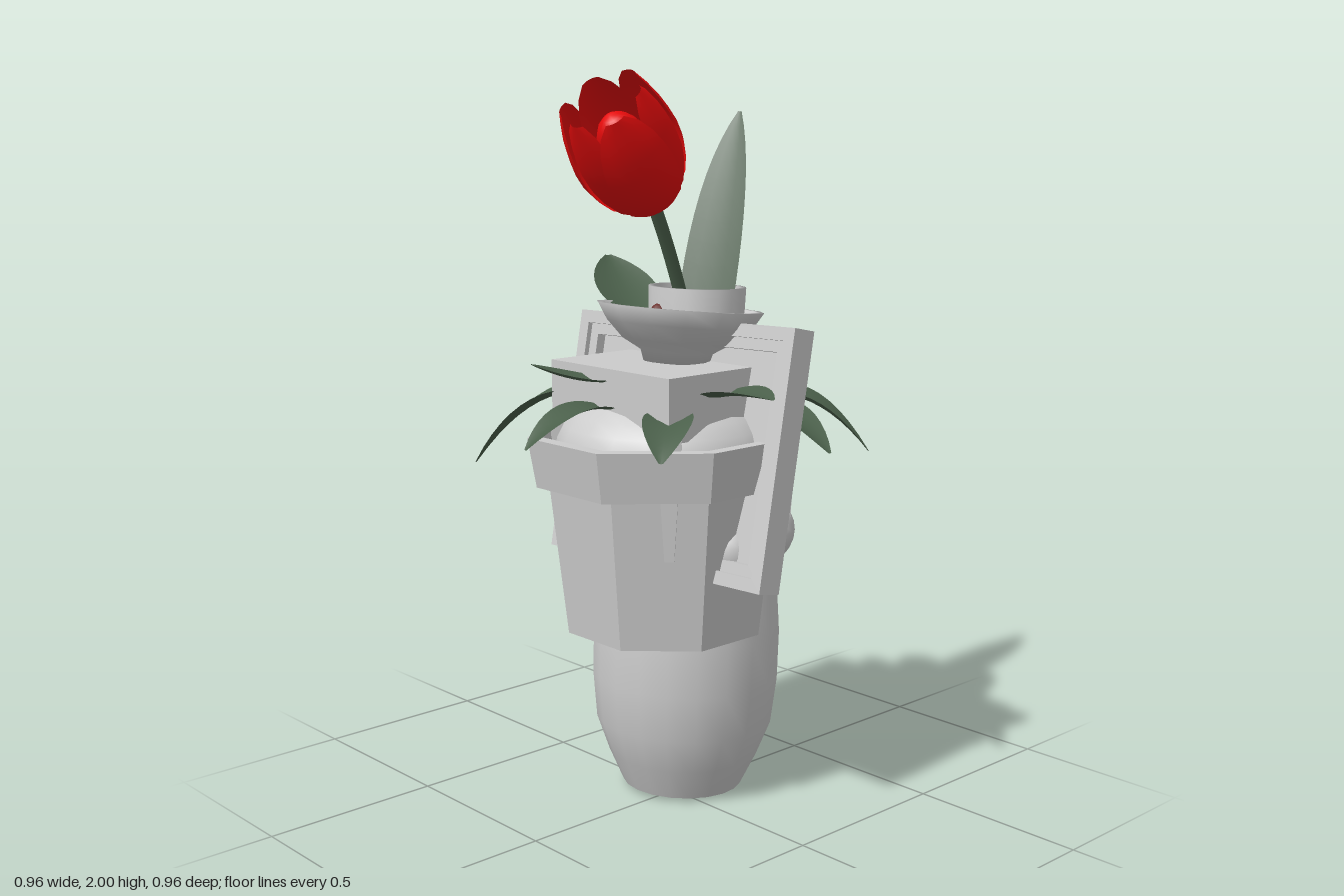
import * as THREE from 'three';

const grey = new THREE.MeshStandardMaterial({ color: 0xcccccc, side: THREE.DoubleSide });
const greyFlat = new THREE.MeshStandardMaterial({ color: 0xcccccc, flatShading: true, side: THREE.DoubleSide });
const green = new THREE.MeshStandardMaterial({ color: 0x4b604b, side: THREE.DoubleSide });
const red = new THREE.MeshStandardMaterial({ color: 0xe60b0b, side: THREE.DoubleSide });
const brown = new THREE.MeshStandardMaterial({ color: 0x6a302c });

function add(parent, name, geometry, material, pos = [0, 0, 0]) {
  const mesh = new THREE.Mesh(geometry, material);
  mesh.name = name;
  mesh.position.set(...pos);
  parent.add(mesh);
  return mesh;
}

const lathe = (points, sides, start = 0) =>
  new THREE.LatheGeometry(points.map(([r, y]) => new THREE.Vector2(r, y)), sides, start);

// Surface from a rule f(u, v) -> Vector3 on a regular grid
function sheet(nu, nv, f) {
  const pos = [], index = [];
  for (let i = 0; i <= nu; i++) {
    for (let j = 0; j <= nv; j++) {
      pos.push(...f(i / nu, j / nv).toArray());
      if (i < nu && j < nv) {
        const a = i * (nv + 1) + j, b = a + nv + 1;
        index.push(a, b, a + 1, b, b + 1, a + 1);
      }
    }
  }
  const g = new THREE.BufferGeometry();
  g.setAttribute('position', new THREE.Float32BufferAttribute(pos, 3));
  g.setIndex(index);
  g.computeVertexNormals();
  return g;
}

// Arched, slightly folded leaf; a larger start puts the widest part nearer the base
function leaf(base, tip, width, arch, side, start = 0.1, tipWidth = 0.25) {
  const a = new THREE.Vector3(...base), b = new THREE.Vector3(...tip);
  const mid = a.clone().lerp(b, 0.5);
  mid.y += arch;
  const curve = new THREE.QuadraticBezierCurve3(a, mid, b);
  const across = side
    ? new THREE.Vector3(...side).normalize()
    : new THREE.Vector3(b.z - a.z, 0, a.x - b.x).normalize();
  return sheet(12, 4, (u, v) => {
    const s = v * 2 - 1;
    const w = width / 2 * (tipWidth + (1 - tipWidth) * Math.sin(Math.PI * (start + u * (0.95 - start))))
      * Math.sqrt(Math.max(0.06, 1 - Math.pow(u, 8)));
    const p = curve.getPoint(u).addScaledVector(across, s * w);
    p.y += 0.25 * w * s * s;
    return p;
  });
}

// Cupped petal around the y axis
function petal(radius, height, halfAngle) {
  const profile = new THREE.SplineCurve([[0.15, 0], [0.7, 0.1], [1, 0.4], [0.97, 0.72], [0.8, 1]]
    .map(([r, y]) => new THREE.Vector2(r * radius, y * height)));
  return sheet(10, 6, (u, v) => {
    const s = v * 2 - 1;
    const p = profile.getPoint(u);
    const a = s * halfAngle * Math.sqrt(Math.max(0.1, 1 - Math.pow(u, 5)));
    const r = p.x * (1 - 0.06 * s * s);
    return new THREE.Vector3(Math.sin(a) * r, p.y, Math.cos(a) * r);
  });
}

function createVase() {
  const vase = new THREE.Group();
  vase.name = 'vase';
  const body = [[0.17, 0], [0.212, 0.09], [0.25, 0.19], [0.264, 0.32], [0.265, 0.46], [0.25, 0.64],
    [0.235, 0.75], [0.205, 0.88], [0.165, 1.0], [0.135, 1.13], [0.13, 1.25], [0.136, 1.42],
    [0.12, 1.42], [0.115, 1.25], [0.11, 1.1]];
  add(vase, 'vaseBody', lathe(body, 20), grey);
  add(vase, 'vaseBase', new THREE.CircleGeometry(0.17, 20).rotateX(Math.PI / 2), greyFlat);
  vase.position.set(-0.045, 0.009, -0.073);
  vase.rotation.x = -0.04;
  return vase;
}

function createPot() {
  const pot = new THREE.Group();
  pot.name = 'pot';
  const turn = Math.PI / 8;
  add(pot, 'potBody', lathe([[0, 0.5], [0.28, 0.5], [0.33, 0.92]], 8, turn), greyFlat, [-0.02, 0, 0.015]);
  const rim = add(pot, 'potRim', lathe([[0.32, 0.92], [0.345, 0.92], [0.367, 1.055], [0.33, 1.055], [0.32, 1.0], [0, 1.0]],
    8, turn), greyFlat, [-0.006, 0, 0.015]);
  rim.scale.z = 1.11;
  const soil = add(pot, 'soil', new THREE.SphereGeometry(0.31, 20, 8, 0, Math.PI * 2, 0, Math.PI / 2), grey, [-0.005, 1.0, 0.015]);
  soil.scale.y = 0.6;
  return pot;
}

function createStand() {
  const stand = new THREE.Group();
  stand.name = 'stand';
  add(stand, 'standTop', new THREE.BoxGeometry(0.47, 0.17, 0.47), greyFlat, [0, 1.155, 0]);
  for (const x of [-1, 1]) for (const z of [-1, 1]) {
    add(stand, 'standLeg', new THREE.CylinderGeometry(0.045, 0.018, 0.32, 4), greyFlat, [x * 0.215, 0.92, z * 0.215]);
  }
  return stand;
}

function createFrame() {
  const frame = new THREE.Group();
  frame.name = 'frame';
  const ring = (w, h, border, depth) => {
    const rect = (S, a, b) => new S().moveTo(-a, -b).lineTo(a, -b).lineTo(a, b).lineTo(-a, b).closePath();
    const shape = rect(THREE.Shape, w / 2, h / 2);
    shape.holes.push(rect(THREE.Path, w / 2 - border, h / 2 - border));
    return new THREE.ExtrudeGeometry(shape, { depth, bevelEnabled: false });
  };
  // Panel recessed between stepped rails on both faces
  add(frame, 'outerRail', ring(0.82, 0.685, 0.035, 0.075), greyFlat, [0, 0, -0.0375]);
  add(frame, 'innerRail', ring(0.75, 0.615, 0.03, 0.045), greyFlat, [0, 0, -0.0225]);
  add(frame, 'backPanel', new THREE.BoxGeometry(0.7, 0.565, 0.012), greyFlat, [0, 0, -0.012]);
  frame.position.set(0.004, 1.008, 0);
  frame.rotation.set(-0.21, 0.02, 0.03);
  return frame;
}

function createFoliage() {
  const foliage = new THREE.Group();
  foliage.name = 'foliage';
  // base, tip, width, arch
  const leaves = [
    [[-0.09, 1.19, -0.18], [-0.235, 1.17, -0.475], 0.17, 0.1],
    [[0.17, 1.14, -0.13], [0.4, 1.0, -0.345], 0.17, 0.13],
    [[0.17, 1.13, -0.11], [0.48, 1.04, -0.1], 0.12, 0.08],
    [[0.16, 1.15, 0.06], [0.43, 1.19, 0.06], 0.15, 0.03],
    [[0.15, 1.12, 0.14], [0.32, 1.05, 0.34], 0.13, 0.07],
    [[-0.01, 1.12, 0.2], [-0.04, 1.05, 0.48], 0.12, 0.09],
    [[-0.17, 1.13, 0.1], [-0.475, 0.93, 0.32], 0.17, 0.16],
    [[-0.02, 1.2, 0.2], [-0.14, 1.25, 0.38], 0.11, -0.03],
    [[-0.17, 1.15, -0.1], [-0.44, 1.19, -0.2], 0.13, 0.04],
    [[-0.08, 1.34, 0.03], [-0.33, 1.5, -0.05], 0.18, -0.03],
    [[0.05, 1.17, -0.18], [0.08, 1.06, -0.34], 0.12, 0.08],
  ];
  for (const [base, tip, width, arch] of leaves) add(foliage, 'leaf', leaf(base, tip, width, arch), green);
  add(foliage, 'tallLeaf', leaf([-0.015, 1.2, -0.1], [-0.085, 1.9, -0.33], 0.17, 0.1, [1, 0, -0.35], 0.35, 0.1), green);
  return foliage;
}

function createFlower() {
  const flower = new THREE.Group();
  flower.name = 'flower';
  const stemPath = new THREE.QuadraticBezierCurve3(new THREE.Vector3(-0.04, 1.25, -0.11),
    new THREE.Vector3(-0.015, 1.5, -0.02), new THREE.Vector3(0.015, 1.69, 0.1));
  add(flower, 'stem', new THREE.TubeGeometry(stemPath, 12, 0.018, 8), green);
  const bloom = new THREE.Group();
  bloom.name = 'bloom';
  for (let i = 0; i < 6; i++) {
    const outer = i % 2;
    const p = add(bloom, outer ? 'outerPetal' : 'innerPetal',
      petal(outer ? 0.148 : 0.134, outer ? 0.34 : 0.345, 0.72), red);
    p.rotation.y = i * Math.PI / 3;
  }
  const heart = add(bloom, 'bloomHeart', new THREE.SphereGeometry(0.07, 14, 10), red, [0, 0.18, 0]);
  heart.scale.y = 1.6;
  bloom.position.set(0.02, 1.67, 0.09);
  bloom.quaternion.setFromUnitVectors(new THREE.Vector3(0, 1, 0), new THREE.Vector3(0.15, 0.75, 0.64).normalize());
  flower.add(bloom);
  return flower;
}

export function createModel() {
  const model = new THREE.Group();
  model.name = 'flowerArrangement';
  model.add(createVase(), createPot(), createStand(), createFrame(), createFoliage(), createFlower());

  // Shallow bowl on top of the stand
  const bowl = add(model, 'bowl', lathe([[0, 0.0], [0.09, 0.0], [0.1, 0.03], [0.155, 0.06], [0.2, 0.105], [0.228, 0.15],
    [0.208, 0.15], [0.185, 0.11], [0.14, 0.07], [0, 0.05]], 14), grey, [0.008, 1.235, 0]);
  bowl.rotation.x = -0.1;
  add(model, 'berry', new THREE.CapsuleGeometry(0.024, 0.03, 4, 10), brown, [-0.06, 1.35, 0.0]);

  // Rounded lumps beside the vase
  for (const [x, y, z, r] of [[0.185, 0.76, -0.08, 0.1], [0.16, 0.77, -0.17, 0.1], [0.215, 0.75, 0.0, 0.09]]) {
    add(model, 'lump', new THREE.SphereGeometry(r, 16, 12), grey, [x, y, z]);
  }
  return model;
}
